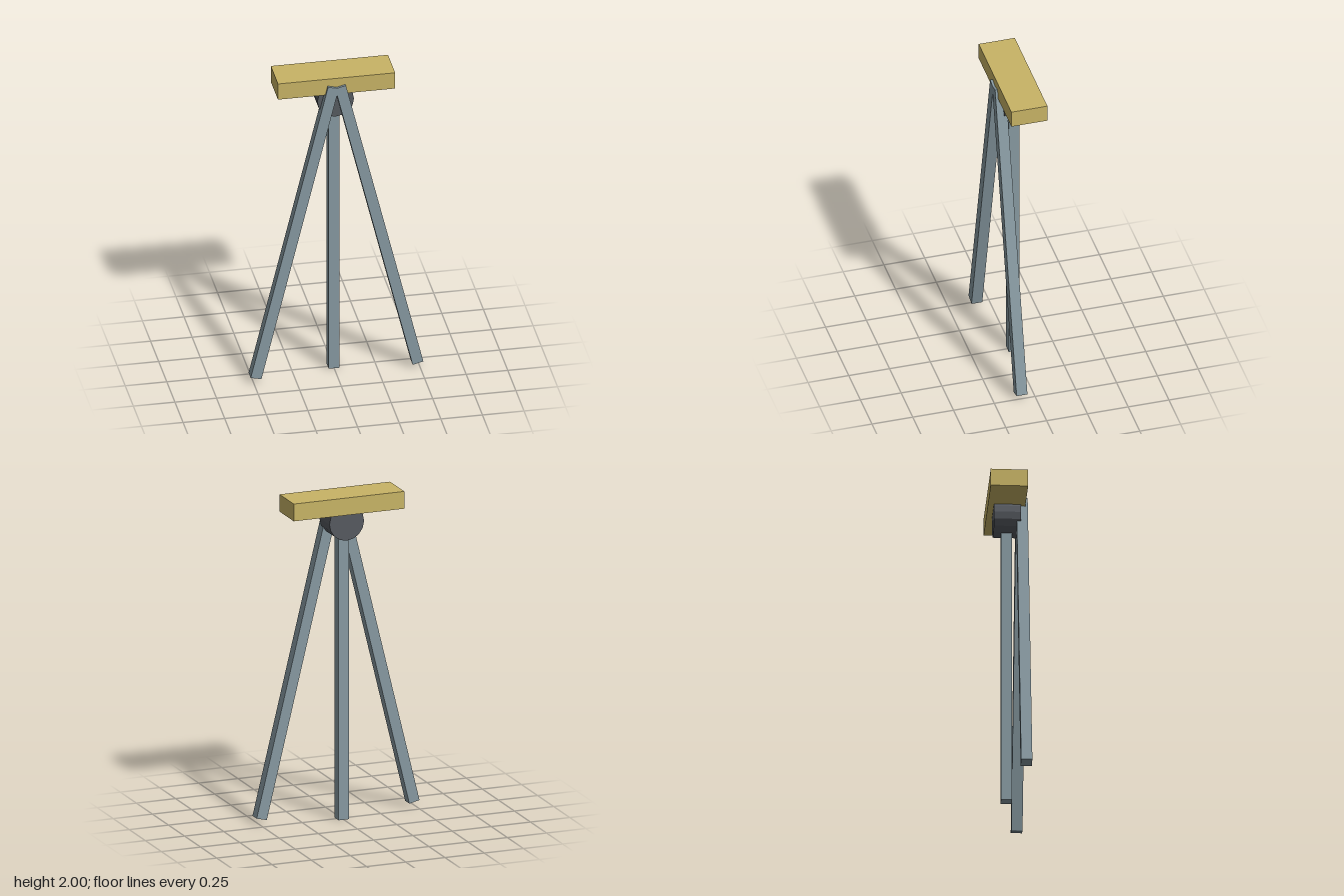
import * as THREE from 'three';

export function createModel() {
  const group = new THREE.Group();
  const gold = new THREE.MeshStandardMaterial({ name: 'gold', color: 0xc8b466 });
  const steel = new THREE.MeshStandardMaterial({ name: 'steelGrey', color: 0x8799a1 });
  const dark = new THREE.MeshStandardMaterial({ name: 'darkGrey', color: 0x565a60 });

  const add = (name, geometry, material, x, y, z) => {
    const mesh = new THREE.Mesh(geometry, material);
    mesh.name = name;
    mesh.position.set(x, y, z);
    group.add(mesh);
    return mesh;
  };

  // Flat head block
  add('headBlock', new THREE.BoxGeometry(0.704, 0.106, 0.221), gold, 0, 1.947, -0.0075);

  // Faceted pivot drum lying front to back
  const drum = new THREE.CylinderGeometry(0.11, 0.11, 0.158, 16).rotateX(Math.PI / 2).toNonIndexed();
  drum.computeVertexNormals();
  add('pivotDrum', drum, dark, 0, 1.837, -0.004);

  // Three square legs: two splayed in front, one upright behind
  const W = 0.066, L = 1.97;
  const legGeometry = new THREE.BoxGeometry(W, L, W);
  for (const side of [1, -1]) {
    const leg = add(side > 0 ? 'frontLegLeft' : 'frontLegRight', legGeometry, steel, side * 0.254, 0.989, 0.085);
    leg.rotation.z = side * 0.2384;
  }
  add('backLeg', legGeometry, steel, 0, L / 2, -0.005);

  return group;
}
